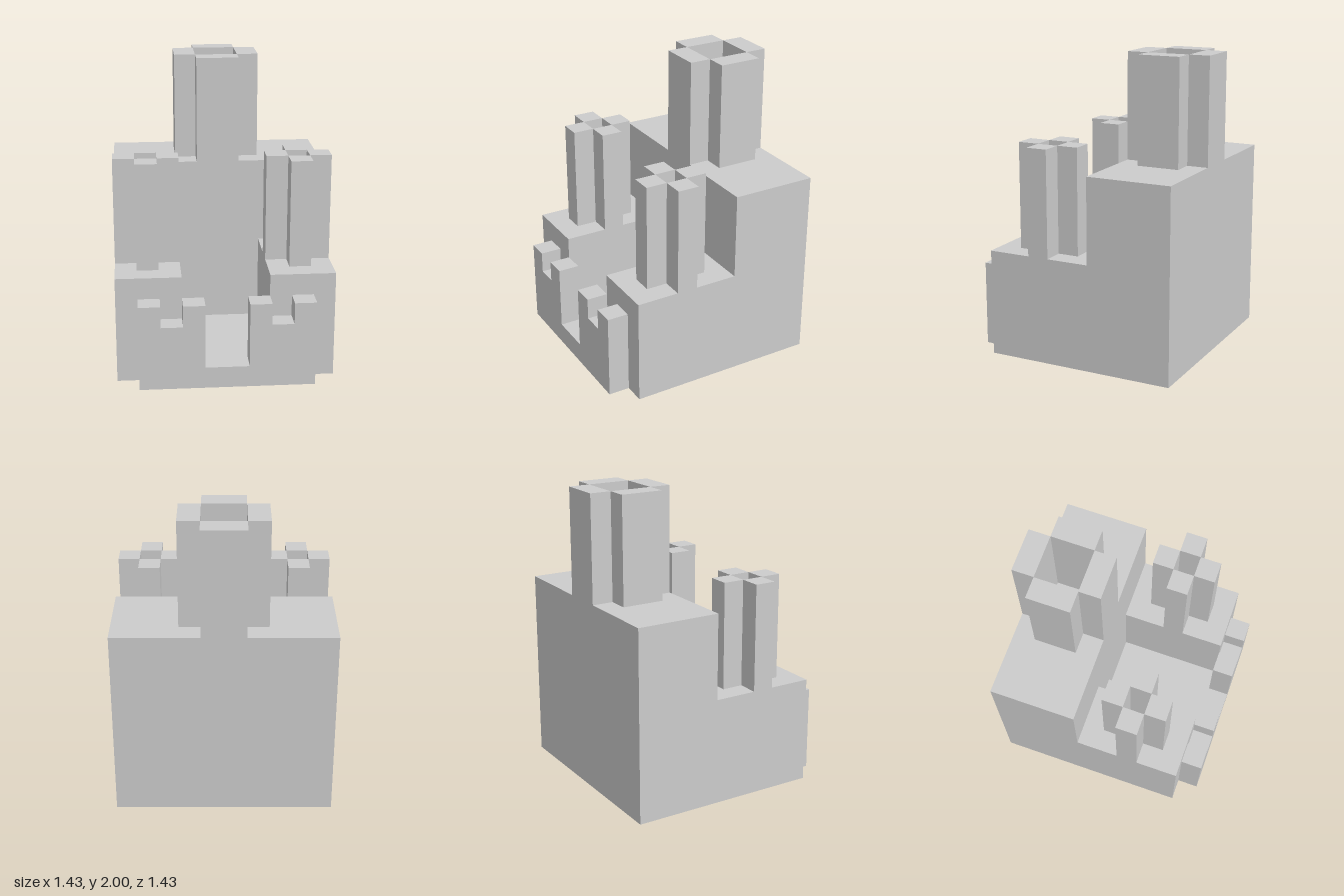
import * as THREE from 'three';

const U = 1 / 7; // one block
const material = new THREE.MeshStandardMaterial({ color: 0xcccccc, flatShading: true });

// Box between two corners, measured in blocks
function block(name, [x0, y0, z0], [x1, y1, z1]) {
  const geo = new THREE.BoxGeometry((x1 - x0) * U, (y1 - y0) * U, (z1 - z0) * U);
  geo.translate((x0 + x1) / 2 * U, (y0 + y1) / 2 * U, (z0 + z1) / 2 * U);
  const mesh = new THREE.Mesh(geo, material);
  mesh.name = name;
  return mesh;
}

// Hollow cross-shaped tower: four walls, one block thick, around an open shaft
function tower(name, cx, cz, half, y0, y1) {
  const group = new THREE.Group();
  group.name = name;
  const out = half + 1;
  group.add(
    block('frontWall', [cx - half, y0, cz + half], [cx + half, y1, cz + out]),
    block('backWall', [cx - half, y0, cz - out], [cx + half, y1, cz - half]),
    block('leftWall', [cx + half, y0, cz - half], [cx + out, y1, cz + half]),
    block('rightWall', [cx - out, y0, cz - half], [cx - half, y1, cz + half])
  );
  return group;
}

// Front wall with a gateway and two notched battlements
function frontWall() {
  const outline = [[-4, 0], [4, 0], [4, 4], [3, 4], [3, 3], [2, 3], [2, 4], [1, 4], [1, 1],
    [-1, 1], [-1, 4], [-2, 4], [-2, 3], [-3, 3], [-3, 4], [-4, 4]];
  const shape = new THREE.Shape(outline.map(([x, y]) => new THREE.Vector2(x * U, y * U)));
  const geo = new THREE.ExtrudeGeometry(shape, { depth: U, bevelEnabled: false });
  geo.translate(0, 0, 4 * U);
  const mesh = new THREE.Mesh(geo, material);
  mesh.name = 'frontWall';
  return mesh;
}

export function createModel() {
  const model = new THREE.Group();
  model.name = 'castle';

  // Keep and its tall tower
  model.add(block('keep', [-5, 0, -5], [5, 9, -1]));
  model.add(tower('keepTower', 0, -3, 1, 9, 14));

  // Courtyard floor and front wall
  model.add(block('courtyard', [-2, 0, -1], [2, 1, 4]));
  model.add(frontWall());

  // Side wings, each with a slim tower
  for (const [side, s] of [['left', 1], ['right', -1]]) {
    model.add(block(side + 'Wing', [s > 0 ? 2 : -5, 0, -1], [s > 0 ? 5 : -2, 5, 4]));
    model.add(tower(side + 'Tower', s * 3.5, 1.5, 0.5, 5, 10));
  }
  return model;
}
